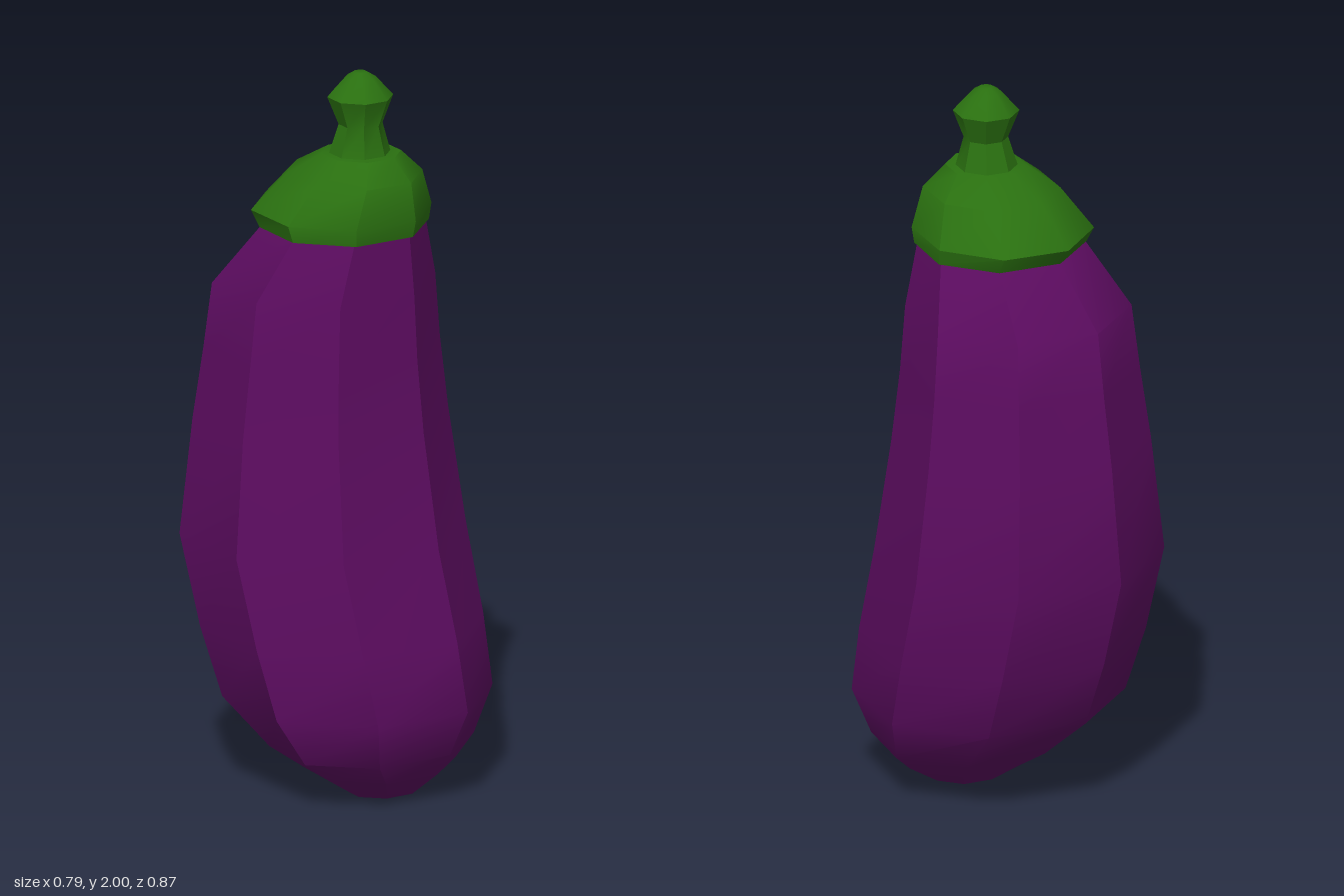
import * as THREE from 'three';
import { toCreasedNormals } from 'three/addons/utils/BufferGeometryUtils.js';

const SIDES = 8;

// Skins a stack of octagonal rings [y, halfWidth, frontZ, backZ], bottom to top, with capped ends.
function loft(rings, crease) {
  const pos = [], index = [];
  for (const [y, rx, front, back] of rings) {
    const cz = (front + back) / 2, rz = (front - back) / 2;
    for (let i = 0; i < SIDES; i++) {
      const a = (i / SIDES) * Math.PI * 2;
      pos.push(Math.sin(a) * rx, y, cz + Math.cos(a) * rz);
    }
  }
  for (let r = 0; r < rings.length - 1; r++) {
    for (let i = 0; i < SIDES; i++) {
      const a = r * SIDES + i, b = r * SIDES + (i + 1) % SIDES;
      index.push(a, b, b + SIDES, a, b + SIDES, a + SIDES);
    }
  }
  const top = (rings.length - 1) * SIDES;
  for (let i = 1; i < SIDES - 1; i++) {
    index.push(0, i + 1, i);
    index.push(top, top + i, top + i + 1);
  }
  const geometry = new THREE.BufferGeometry();
  geometry.setAttribute('position', new THREE.Float32BufferAttribute(pos, 3));
  geometry.setIndex(index);
  return toCreasedNormals(geometry, crease);
}

export function createModel() {
  const group = new THREE.Group();
  const purple = new THREE.MeshStandardMaterial({ color: 0x5c0c60 });
  const green = new THREE.MeshStandardMaterial({ color: 0x2a7010 });

  const add = (name, rings, material, crease) => {
    const mesh = new THREE.Mesh(loft(rings, crease), material);
    mesh.name = name;
    group.add(mesh);
  };

  // Fruit: leans back in the middle, swings forward at the bottom
  add('fruitBody', [
    [0, 0.11, 0.25, 0.055],
    [0.07, 0.225, 0.335, -0.05],
    [0.13, 0.305, 0.375, -0.145],
    [0.26, 0.37, 0.435, -0.3],
    [0.45, 0.388, 0.4, -0.37],
    [0.7, 0.395, 0.338, -0.435],
    [1.02, 0.355, 0.288, -0.4],
    [1.22, 0.328, 0.267, -0.37],
    [1.4, 0.308, 0.257, -0.347],
    [1.58, 0.225, 0.24, -0.19],
  ], purple, 0.6);

  // Leafy cap with a thin rim
  add('cap', [
    [1.565, 0.235, 0.252, -0.205],
    [1.61, 0.243, 0.262, -0.235],
    [1.715, 0.18, 0.247, -0.135],
    [1.775, 0.107, 0.19, -0.03],
  ], green, 0.75);

  // Stem: pinched in the middle, with a small rounded tip
  add('stem', [
    [1.77, 0.085, 0.16, -0.01],
    [1.855, 0.06, 0.138, 0.018],
    [1.932, 0.09, 0.167, -0.013],
    [1.985, 0.042, 0.119, 0.035],
    [2.0, 0.018, 0.095, 0.059],
  ], green, 0.6);

  return group;
}
